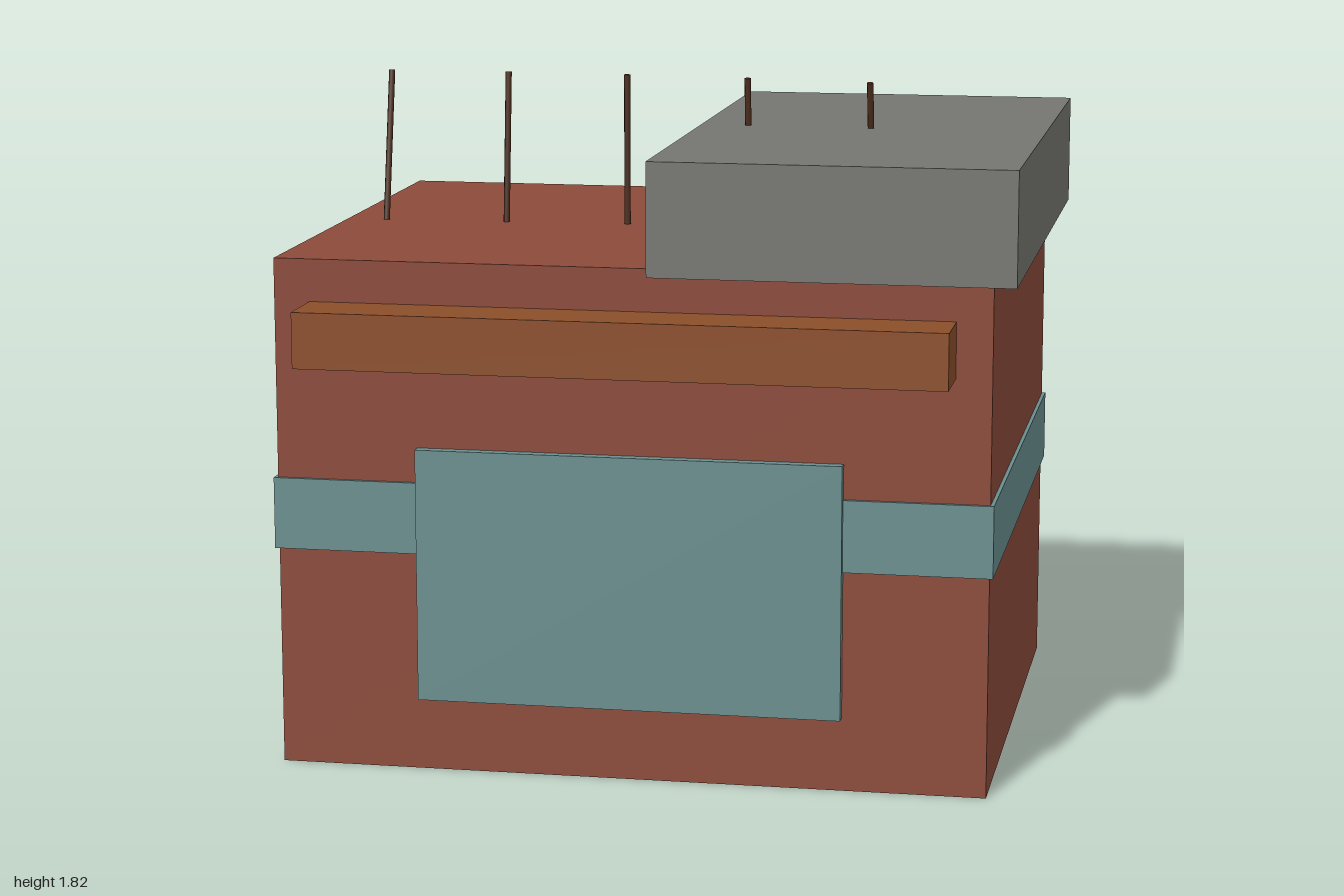
import * as THREE from 'three';

const material = (name, color) => {
  const m = new THREE.MeshStandardMaterial({ color });
  m.name = name;
  return m;
};

export function createModel() {
  const model = new THREE.Group();
  model.name = 'brickBlock';

  const brick = material('brick red', 0x8b4a3a);
  const stone = material('stone grey', 0x757570);
  const teal = material('dull teal', 0x6b8e8e);
  const wood = material('warm wood', 0x8b4e2a);
  const dark = material('dark brown', 0x4a2c1c);

  // Box given by its extents along each axis
  const box = (name, mat, [x0, x1], [y0, y1], [z0, z1]) => {
    const mesh = new THREE.Mesh(new THREE.BoxGeometry(x1 - x0, y1 - y0, z1 - z0), mat);
    mesh.position.set((x0 + x1) / 2, (y0 + y1) / 2, (z0 + z1) / 2);
    mesh.name = name;
    model.add(mesh);
  };

  // Main body with the band wrapped around it
  box('body', brick, [-0.99, 0.936], [0, 1.393], [-0.832, 0.716]);
  box('band', teal, [-1, 0.946], [0.6, 0.795], [-0.84, 0.726]);

  // Front panel and the beam above it
  box('frontPanel', teal, [-0.602, 0.549], [0.2, 0.89], [0.69, 0.746]);
  box('frontBeam', wood, [-0.893, 0.84], [1.127, 1.278], [0.7, 0.89]);

  // Overhanging slab on one side of the top
  box('topSlab', stone, [0.033, 1], [1.378, 1.683], [-0.89, 0.773]);

  // Row of thin rods fanning from back to front
  const rodGeometry = new THREE.CylinderGeometry(0.009, 0.009, 0.49, 8);
  for (let i = -2; i <= 2; i++) {
    const rod = new THREE.Mesh(rodGeometry, dark);
    rod.name = 'rod';
    rod.position.set(-0.182 + i * 0.3475, 1.572, -0.06);
    rod.rotation.x = i * 0.1;
    model.add(rod);
  }

  return model;
}
